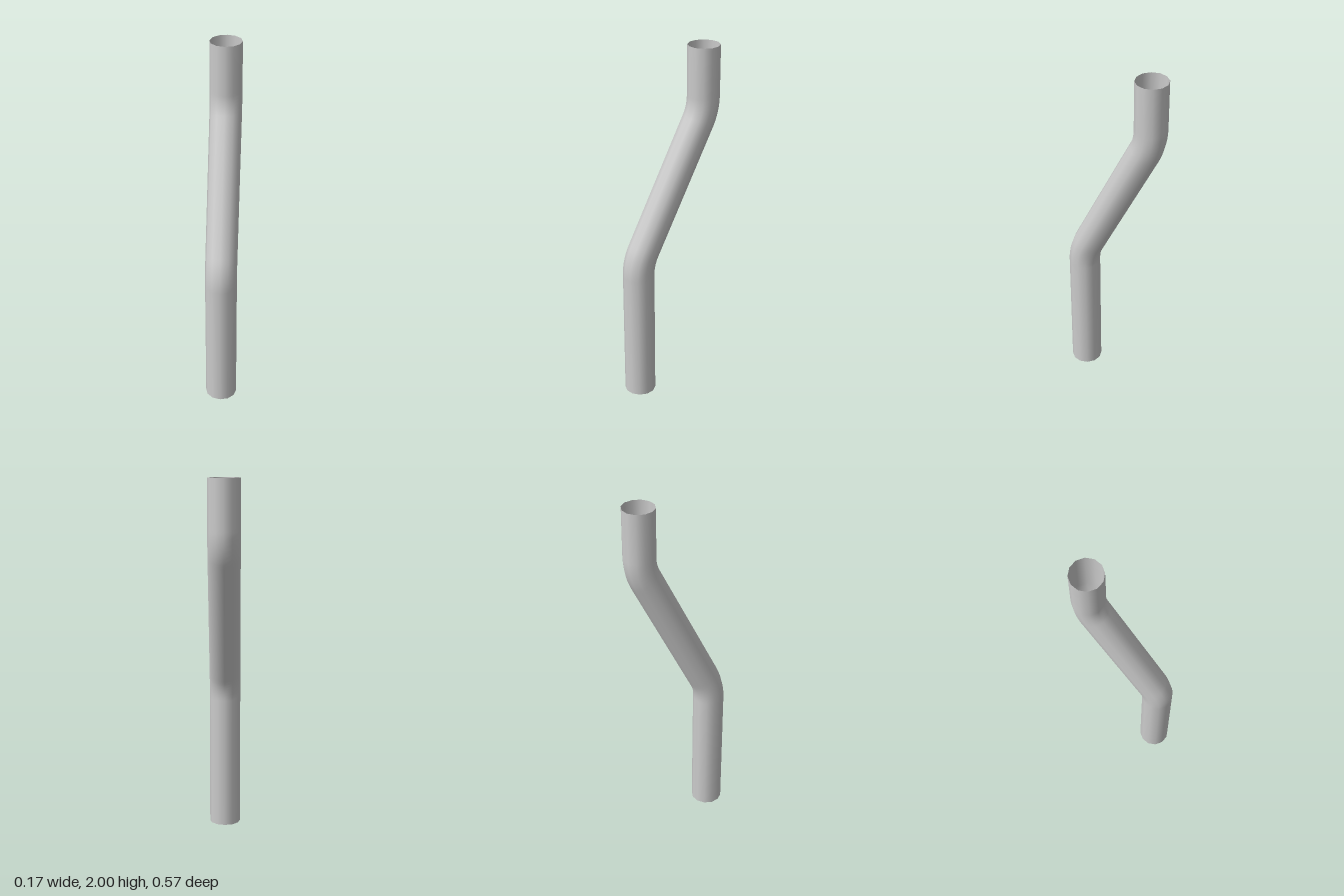
import * as THREE from 'three';

export function createModel() {
  const group = new THREE.Group();
  group.name = 'offsetPipe';

  // Centreline: two vertical runs joined by a slanted run
  const p = (y, z) => new THREE.Vector3(0, y, z);
  const points = [p(0, 0.2), p(0.82, 0.2), p(1.65, -0.2), p(2, -0.2)];
  const bend = 0.075; // length of each run used up by a rounded corner

  const path = new THREE.CurvePath();
  let start = points[0];
  for (let i = 1; i < points.length - 1; i++) {
    const corner = points[i];
    const toward = (q) => corner.clone().add(q.clone().sub(corner).setLength(bend));
    const enter = toward(points[i - 1]);
    const leave = toward(points[i + 1]);
    path.add(new THREE.LineCurve3(start, enter));
    path.add(new THREE.QuadraticBezierCurve3(enter, corner, leave));
    start = leave;
  }
  path.add(new THREE.LineCurve3(start, points[points.length - 1]));

  // Open-ended, twelve-sided pipe wall
  const pipe = new THREE.Mesh(
    new THREE.TubeGeometry(path, 90, 0.0875, 12, false),
    new THREE.MeshStandardMaterial({ color: 0xcccccc, side: THREE.DoubleSide })
  );
  pipe.name = 'pipe';
  group.add(pipe);
  return group;
}
